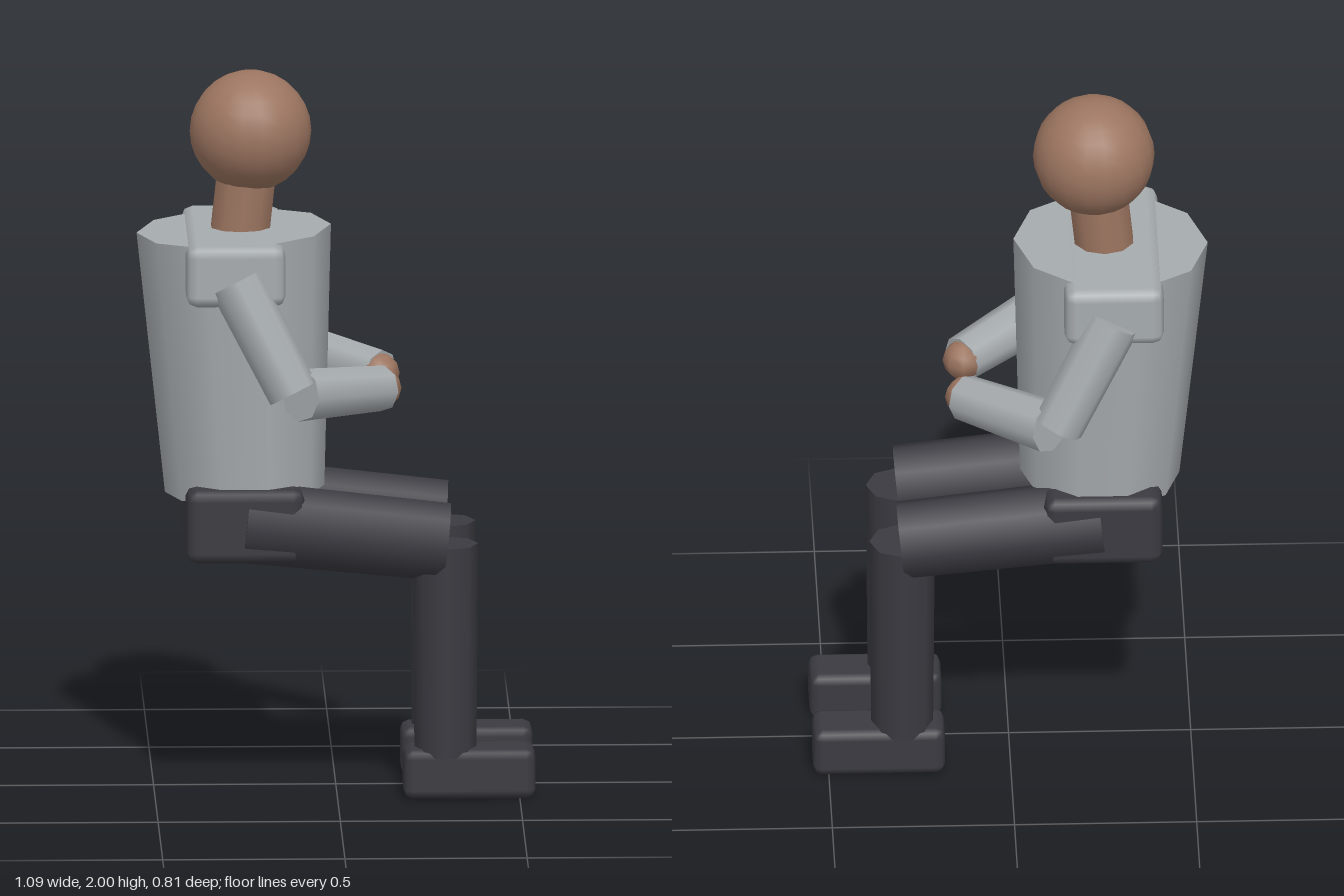
import * as THREE from 'three';
import { RoundedBoxGeometry } from 'three/addons/geometries/RoundedBoxGeometry.js';

const mat = (name, color) => {
  const m = new THREE.MeshStandardMaterial({ color });
  m.name = name;
  return m;
};

export function createModel() {
  const skin = mat('skin', 0x9c7560);
  const shirt = mat('shirt grey', 0xa6abae);
  const trousers = mat('charcoal', 0x3b3a41);

  const model = new THREE.Group();
  model.name = 'seatedFigure';

  const add = (parent, name, geometry, material, position) => {
    const mesh = new THREE.Mesh(geometry, material);
    mesh.name = name;
    mesh.position.set(...position);
    parent.add(mesh);
    return mesh;
  };

  // Capped, tapered cylinder running from point a to point b
  const limb = (parent, name, material, a, b, ra, rb, sides, turn = 0) => {
    const start = new THREE.Vector3(...a);
    const axis = new THREE.Vector3(...b).sub(start);
    const geometry = new THREE.CylinderGeometry(rb, ra, axis.length(), sides).rotateY(turn);
    const mesh = add(parent, name, geometry, material, start.addScaledVector(axis, 0.5).toArray());
    mesh.quaternion.setFromUnitVectors(new THREE.Vector3(0, 1, 0), axis.normalize());
  };

  // Box with a single chamfer on every edge
  const block = (parent, name, material, size, position, chamfer) =>
    add(parent, name, new RoundedBoxGeometry(...size, 1, chamfer), material, position);

  // Head and trunk, facing +x
  add(model, 'head', new THREE.SphereGeometry(0.167, 18, 14), skin, [-0.234, 1.833, 0]);
  limb(model, 'neck', skin, [-0.265, 1.53, 0], [-0.248, 1.69, 0], 0.084, 0.084, 10);
  limb(model, 'torso', shirt, [-0.25, 0.83, 0], [-0.28, 1.559, 0], 0.219, 0.267, 10, Math.PI / 2);
  block(model, 'shoulders', shirt, [0.272, 0.17, 0.606], [-0.281, 1.48, 0], 0.03);
  block(model, 'hips', trousers, [0.325, 0.205, 0.49], [-0.253, 0.767, 0], 0.03);

  // Arms and legs on both sides
  for (const [side, s] of [['left', 1], ['right', -1]]) {
    const arm = new THREE.Group();
    arm.name = side + 'Arm';
    limb(arm, 'upperArm', shirt, [-0.28, 1.465, s * 0.275], [-0.125, 1.165, s * 0.335], 0.075, 0.07, 8);
    limb(arm, 'forearm', shirt, [-0.105, 1.157, s * 0.32], [0.125, 1.13, s * 0.105], 0.074, 0.064, 8);
    add(arm, 'hand', new THREE.SphereGeometry(0.056, 8, 6), skin, [0.122, 1.13, s * 0.1]);

    const leg = new THREE.Group();
    leg.name = side + 'Leg';
    limb(leg, 'thigh', trousers, [-0.25, 0.767, s * 0.153], [0.301, 0.708, s * 0.153], 0.115, 0.11, 8);
    limb(leg, 'lowerLeg', trousers, [0.297, 0.115, s * 0.153], [0.297, 0.705, s * 0.153], 0.085, 0.09, 8);
    block(leg, 'shoe', trousers, [0.362, 0.137, 0.15], [0.362, 0.0685, s * 0.152], 0.025);
    model.add(arm, leg);
  }
  return model;
}
